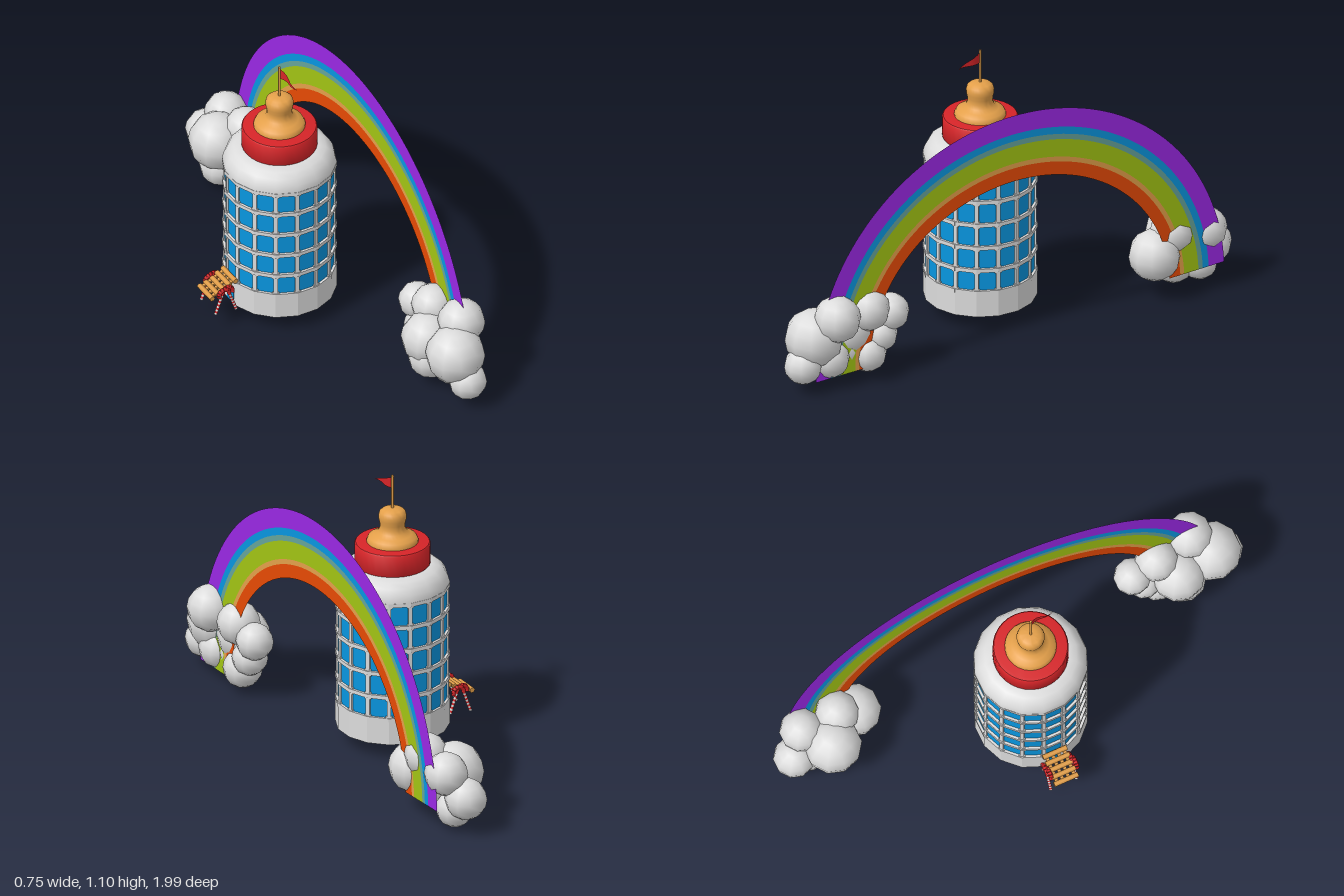
import * as THREE from 'three';
import { mergeGeometries, toCreasedNormals } from 'three/addons/utils/BufferGeometryUtils.js';

const mat = (name, color) => {
  const m = new THREE.MeshStandardMaterial({ color, side: THREE.DoubleSide });
  m.name = name;
  return m;
};

export function createModel() {
  const white = mat('white', 0xdcdcdc);
  const red = mat('red', 0xd62428);
  const gold = mat('gold', 0xe4a04a);
  const blue = mat('blue', 0x0896e0);
  const purple = mat('purple', 0x9a28e4);
  const teal = mat('teal', 0x66a49a);
  const green = mat('green', 0xa2c414);
  const orange = mat('orange', 0xec4c04);

  const model = new THREE.Group();
  const add = (parent, name, geometry, material) => {
    const mesh = new THREE.Mesh(geometry, material);
    mesh.name = name;
    parent.add(mesh);
    return mesh;
  };
  const group = (name, x = 0, y = 0, z = 0) => {
    const g = new THREE.Group();
    g.name = name;
    g.position.set(x, y, z);
    model.add(g);
    return g;
  };
  const lathe = (points, sides, crease = 0.7) => toCreasedNormals(
    new THREE.LatheGeometry(points.map(p => new THREE.Vector2(...p)), sides, Math.PI / 16), crease);

  // Bottle-shaped tower
  const tower = group('tower', -0.0435, 0, -0.019);
  const N = 16, R = 0.216, step = (Math.PI * 2) / N;
  const wall = (r, y0, y1) => toCreasedNormals(
    new THREE.CylinderGeometry(r, r, y1 - y0, N, 1, true, step / 2).translate(0, (y0 + y1) / 2, 0), 0.1);
  add(tower, 'base', wall(0.219, 0.07, 0.175), white);
  add(tower, 'windowPanes', wall(R - 0.006, 0.17, 0.65), blue);
  add(tower, 'shoulder', lathe([[0.219, 0.643], [0.219, 0.664], [0.213, 0.686], [0.199, 0.711],
    [0.178, 0.728], [0.15, 0.736], [0.1, 0.737]], N), white);
  add(tower, 'collar', lathe([[0.12, 0.735], [0.141, 0.735], [0.145, 0.74], [0.145, 0.82],
    [0.141, 0.825], [0.128, 0.827], [0.0, 0.827]], 32), red);
  add(tower, 'teat', lathe([[0.099, 0.824], [0.099, 0.834], [0.092, 0.848], [0.072, 0.857], [0.055, 0.869],
    [0.048, 0.885], [0.049, 0.903], [0.053, 0.92], [0.054, 0.935], [0.05, 0.95], [0.04, 0.959],
    [0.022, 0.964], [0, 0.965]], 28, 1.2), gold);

  // Window grid: posts on the corners, rails and small corner fixings on each side
  const frame = [];
  const bar = (w, h, d, x, y, r, angle) =>
    frame.push(new THREE.BoxGeometry(w, h, d).translate(x, y, r).rotateY(angle));
  const rails = [0.172, 0.265, 0.361, 0.458, 0.555, 0.65];
  const apothem = R * Math.cos(step / 2), half = R * Math.sin(step / 2);
  for (let i = 0; i < N; i++) {
    bar(0.016, 0.47, 0.014, 0, 0.41, R - 0.008, (i + 0.5) * step);
    rails.forEach((y, k) => {
      bar(half * 2.05, 0.016, 0.014, 0, y, apothem - 0.003, i * step);
      for (const sx of [-1, 1]) for (const sy of [-1, 1]) {
        if ((k === 0 && sy < 0) || (k === 5 && sy > 0)) continue;
        bar(0.007, 0.007, 0.01, sx * (half - 0.0105), y + sy * 0.0105, apothem - 0.004, i * step);
      }
    });
  }
  add(tower, 'windowFrames', mergeGeometries(frame), white);

  // Door under the awning
  add(tower, 'door', new THREE.BoxGeometry(0.006, 0.075, 0.05).translate(-0.2138, 0.108, 0), blue);

  // Flag on top
  add(tower, 'flagPole', new THREE.CylinderGeometry(0.005, 0.005, 0.14, 8).translate(0, 1.03, 0), gold);
  const flag = new THREE.PlaneGeometry(1, 1, 6, 1);
  const fp = flag.attributes.position;
  for (let i = 0; i < fp.count; i++) {
    const t = fp.getX(i) + 0.5, v = fp.getY(i);
    fp.setXYZ(i, 0.02 * t + 0.006 * Math.sin(t * 6), 1.069 - 0.02 * t + v * 0.046 * (1 - t), 0.105 * t);
  }
  flag.computeVertexNormals();
  add(tower, 'flag', flag, red);

  // Rainbow: flat bands between nested half ellipses
  const rainbow = group('rainbow', 0.275, 0.073, -0.01);
  const edges = [0.893, 0.814, 0.784, 0.762, 0.689, 0.669, 0.614];
  const width = h => 0.66 + ((h - 0.614) / 0.279) * 0.24;
  [purple, blue, teal, green, gold, orange].forEach((material, i) => {
    const a = edges[i], b = edges[i + 1], start = -0.03, end = Math.PI - 0.045;
    const s = new THREE.Shape();
    s.absellipse(0, 0, width(a), a, start, end, false);
    s.absellipse(0, 0, width(b), b, end, start, true);
    add(rainbow, material.name + 'Band', new THREE.ShapeGeometry(s, 40).rotateY(-Math.PI / 2), material);
  });

  // Clouds at both ends: x, y, z, radius of each puff
  const clouds = {
    frontCloud: [[0.24, 0.25, 0.54, 0.073], [0.25, 0.29, 0.645, 0.085], [0.19, 0.2, 0.71, 0.105],
      [0.284, 0.3, 0.8, 0.092], [0.22, 0.21, 0.865, 0.115], [0.24, 0.115, 0.925, 0.074],
      [0.24, 0.12, 0.81, 0.08], [0.235, 0.1, 0.64, 0.077], [0.235, 0.165, 0.585, 0.07],
      [0.19, 0.13, 0.73, 0.09]],
    backCloud: [[0.155, 0.145, -0.92, 0.082], [0.21, 0.24, -0.865, 0.085], [0.12, 0.2, -0.775, 0.113],
      [0.21, 0.262, -0.715, 0.086], [0.217, 0.185, -0.637, 0.102], [0.13, 0.085, -0.77, 0.082],
      [0.17, 0.085, -0.86, 0.073], [0.17, 0.15, -0.74, 0.09]],
  };
  for (const [name, puffs] of Object.entries(clouds)) {
    const cloud = group(name);
    for (const [x, y, z, r] of puffs) {
      add(cloud, 'puff', new THREE.SphereGeometry(r, 10, 8).translate(x, y, z), white);
    }
  }

  // Entrance awning: slats and crossbars on striped canes
  const porch = group('porch', -0.31, 0, -0.02);
  const awning = new THREE.Group();
  awning.name = 'awning';
  awning.position.set(-0.005, 0.17, 0);
  awning.rotation.z = 0.42;
  porch.add(awning);
  for (let i = 0; i < 5; i++) {
    add(awning, 'roofRod', new THREE.CylinderGeometry(0.011, 0.011, 0.1, 6)
      .rotateX(Math.PI / 2).translate(-0.056 + i * 0.028, 0, 0), gold);
  }
  for (let i = 0; i < 4; i++) {
    add(awning, 'roofSlat', new THREE.BoxGeometry(0.115, 0.008, 0.014).translate(0, 0, -0.036 + i * 0.024), gold);
  }

  // Each cane leans inward and hooks over; the stripes alternate along its leg
  const canePoint = (t, s) => {
    if (t < 0.6) return [s * (0.043 - 0.031 * (t / 0.6)), 0.07 + 0.087 * (t / 0.6)];
    const a = ((t - 0.6) / 0.4) * Math.PI * 1.1;
    return [s * (-0.01 + 0.022 * Math.cos(a)), 0.157 + 0.022 * Math.sin(a)];
  };
  for (const z of [-0.054, 0.054]) for (const s of [-1, 1]) {
    const count = 20;
    for (let i = 0; i < count; i++) {
      const pts = [0, 0.5, 1].map(f => new THREE.Vector3(...canePoint((i + f) / count, s), z + s * 0.004));
      add(porch, 'caneStripe', new THREE.TubeGeometry(new THREE.CatmullRomCurve3(pts), 2, i < 12 ? 0.0065 : 0.0085, 8),
        i % 2 === 0 && i < 12 ? white : red);
    }
  }
  return model;
}
